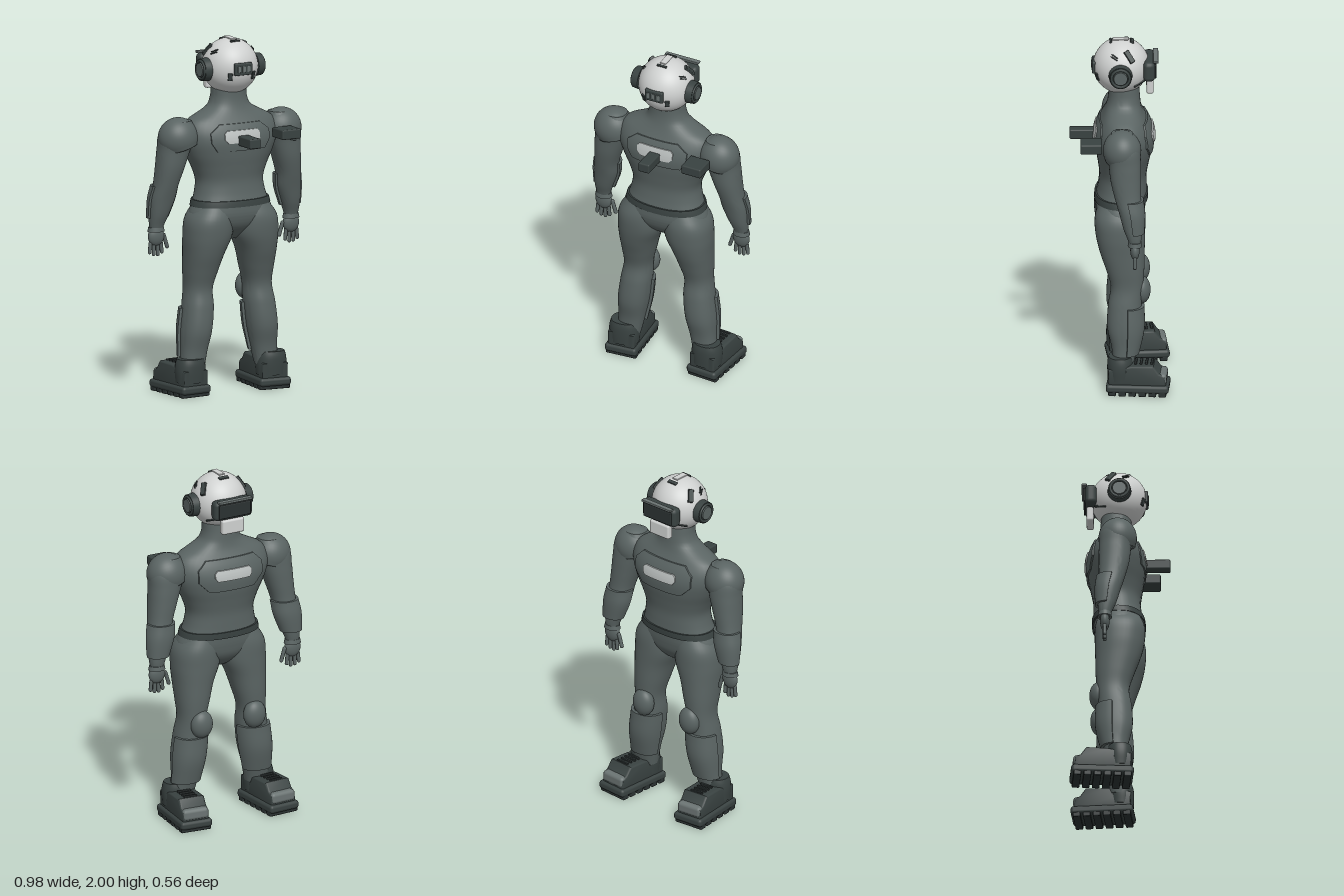
import * as THREE from 'three';
import { toCreasedNormals } from 'three/addons/utils/BufferGeometryUtils.js';
import { RoundedBoxGeometry } from 'three/addons/geometries/RoundedBoxGeometry.js';

const paint = (name, color) => Object.assign(new THREE.MeshStandardMaterial({ color }), { name });
const POW = 2.25; // superellipse exponent of body sections

// Cross-sections [y, cx, cz, rx, rz], bottom to top, as a smooth function of y
function profile(rows) {
  const curve = new THREE.CubicInterpolant(
    new Float32Array(rows.map(r => r[0])), new Float32Array(rows.flatMap(r => r.slice(1))), 4, new Float32Array(4));
  return y => Array.from(curve.evaluate(y));
}

function gridGeometry(rows, flip, crease = 0.7) {
  const n = rows[0].length, idx = [];
  for (let i = 0; i < rows.length - 1; i++) for (let j = 0; j < n - 1; j++) {
    const a = i * n + j, b = a + 1, c = a + n, d = c + 1;
    idx.push(...(flip ? [a, c, b, b, c, d] : [a, b, c, b, d, c]));
  }
  const g = new THREE.BufferGeometry();
  g.setAttribute('position', new THREE.Float32BufferAttribute(rows.flat(2), 3));
  g.setIndex(idx);
  return toCreasedNormals(g, crease);
}

// Capped body volume between two heights, mirrored by s
function loft(at, top, bottom, s = 1, grow = 0, steps = 32, n = 40) {
  const rows = [], sp = v => Math.sign(v) * Math.abs(v) ** (2 / POW);
  for (let i = -1; i <= steps + 1; i++) {
    const y = top + (bottom - top) * Math.min(Math.max(i / steps, 0), 1);
    const [cx, cz, rx, rz] = at(y), k = i < 0 || i > steps ? 0 : 1, row = [];
    for (let j = 0; j <= n; j++) {
      const a = (j % n) / n * Math.PI * 2;
      row.push([s * cx + k * (rx + grow) * sp(Math.cos(a)), y, cz + k * (rz + grow) * sp(Math.sin(a))]);
    }
    rows.push(row);
  }
  return gridGeometry(rows, false);
}

// Armour shell wrapped round the -z side of a limb, with turned-in edges
function shell(at, top, bottom, s, half, off) {
  const rows = [], N = 18, M = 10, sp = v => Math.sign(v) * Math.abs(v) ** (2 / POW);
  for (let i = -1; i <= M + 1; i++) {
    const v = Math.min(Math.max(i / M, 0), 1), y = top + (bottom - top) * v, [cx, cz, rx, rz] = at(y), row = [];
    for (let j = -1; j <= N + 1; j++) {
      const u = Math.min(Math.max(j / N, 0), 1), a = -Math.PI / 2 + (u * 2 - 1) * half;
      const o = i < 0 || i > M || j < 0 || j > N ? -0.004 : off;
      row.push([s * cx + (rx + o) * sp(Math.cos(a)), y, cz + (rz + o) * sp(Math.sin(a))]);
    }
    rows.push(row);
  }
  return gridGeometry(rows, false);
}

// Raised panel following the torso; outline is [y, half width] from top to bottom
function panel(at, outline, side, off) {
  const rows = [], N = 20, ys = [];
  outline.slice(1).forEach(([y1, w1], k) => {
    const [y0, w0] = outline[k];
    for (let t = k ? 1 : 0; t <= 4; t++) ys.push([y0 + (y1 - y0) * t / 4, w0 + (w1 - w0) * t / 4]);
  });
  for (let i = -1; i <= ys.length; i++) {
    const [y, w] = ys[Math.min(Math.max(i, 0), ys.length - 1)], [, cz, rx, rz] = at(y), row = [];
    for (let j = -1; j <= N + 1; j++) {
      const x = w * (Math.min(Math.max(j / N, 0), 1) * 2 - 1);
      const o = i < 0 || i === ys.length || j < 0 || j > N ? -0.004 : off;
      row.push([x, y, cz + side * (rz * (1 - Math.abs(x / rx) ** POW) ** (1 / POW) + o)]);
    }
    rows.push(row);
  }
  return gridGeometry(rows, side > 0);
}

export function createModel() {
  const root = new THREE.Group();
  root.name = 'armouredFigure';
  const suit = paint('suitGrey', 0x5a6463), dark = paint('darkGrey', 0x394241), sole = paint('soleBlack', 0x2b3232);
  const white = paint('helmetWhite', 0xcfd1d0), light = paint('panelLight', 0xbcc1c0), trim = paint('trimGrey', 0x6b7473);
  const add = (parent, name, geo, mat, x = 0, y = 0, z = 0) => {
    const m = new THREE.Mesh(geo, mat);
    m.name = name;
    m.position.set(x, y, z);
    parent.add(m);
    return m;
  };
  const box = (w, h, d, r = 0.008) => new RoundedBoxGeometry(w, h, d, 2, Math.min(r, w / 2.1, h / 2.1, d / 2.1));
  const ball = (x, y, z) => new THREE.SphereGeometry(1, 36, 24).scale(x, y, z);

  // Torso, belt and pelvis
  const torso = profile([
    [1.04, 0, -0.006, 0.235, 0.14], [1.08, 0, -0.008, 0.226, 0.141], [1.14, 0, -0.014, 0.208, 0.135],
    [1.21, 0, -0.018, 0.2, 0.132], [1.28, 0, -0.02, 0.222, 0.142], [1.36, 0, -0.022, 0.26, 0.156],
    [1.44, 0, -0.022, 0.287, 0.16], [1.5, 0, -0.021, 0.285, 0.145], [1.555, 0, -0.02, 0.25, 0.118],
    [1.585, 0, -0.02, 0.19, 0.105], [1.62, 0, -0.022, 0.128, 0.095], [1.66, 0, -0.024, 0.106, 0.089], [1.73, 0, -0.022, 0.098, 0.085]]);
  add(root, 'torso', loft(torso, 1.73, 1.05, 1, 0, 48), suit);
  add(root, 'belt', loft(torso, 1.102, 1.066, 1, 0.009, 2), dark);
  const hips = profile([[0.87, 0, -0.01, 0.04, 0.035], [0.9, 0, -0.01, 0.1, 0.075], [0.95, 0, -0.006, 0.2, 0.118],
    [1.01, 0, -0.003, 0.25, 0.138], [1.08, 0, -0.006, 0.228, 0.143]]);
  add(root, 'pelvis', loft(hips, 1.08, 0.87), suit);

  // Chest and back panels, and the two boxes on the back
  const hex = [[1.535, 0.127], [1.49, 0.185], [1.435, 0.183], [1.385, 0.15]];
  const strip = [[1.5, 0.095], [1.485, 0.11], [1.45, 0.11], [1.43, 0.09]];
  add(root, 'backPanel', panel(torso, hex, 1, 0.007), suit);
  add(root, 'backStrip', panel(torso, strip, 1, 0.013), light);
  add(root, 'chestPanel', panel(torso, [[1.54, 0.15], [1.49, 0.2], [1.42, 0.2], [1.36, 0.14]], -1, 0.009), suit);
  add(root, 'chestStrip', panel(torso, [[1.485, 0.1], [1.47, 0.115], [1.445, 0.115], [1.425, 0.1]], -1, 0.017), light);
  add(root, 'centreBackBox', box(0.068, 0.056, 0.14), dark, 0.003, 1.443, 0.209);
  add(root, 'sideBackBox', box(0.12, 0.056, 0.12), dark, 0.268, 1.464, 0.161);

  // Helmet with visor, mouthpiece and surface plates
  const head = new THREE.Group();
  head.name = 'head';
  head.position.set(0, 1.843, -0.008);
  root.add(head);
  add(head, 'helmet', new THREE.SphereGeometry(0.157, 48, 32), white);
  add(head, 'visorHousing', box(0.24, 0.115, 0.065, 0.025), dark, 0, -0.003, -0.155);
  add(head, 'visorLens', box(0.2, 0.08, 0.012, 0.005), sole, 0, -0.003, -0.19);
  add(head, 'visorBrow', box(0.21, 0.014, 0.03, 0.004), trim, 0, 0.054, -0.192);
  add(head, 'mouthpiece', box(0.14, 0.085, 0.04, 0.012), white, 0, -0.105, -0.16);
  const plate = (name, dx, dy, dz, w, h, mat = dark, d = 0.012, roll = 0) => {
    const dir = new THREE.Vector3(dx, dy, dz).normalize();
    const m = add(head, name, box(w, h, d, 0.004), mat, ...dir.clone().multiplyScalar(0.157).toArray());
    m.quaternion.setFromUnitVectors(new THREE.Vector3(0, 0, 1), dir);
    m.rotateZ(roll);
  };
  plate('crownPlate', 0, 1, 0.02, 0.038, 0.09, white, 0.008);
  plate('crownFrontTab', 0, 0.15, -0.063, 0.06, 0.022);
  plate('crownRearTab', 0, 0.15, 0.06, 0.06, 0.014);
  add(head, 'rearVent', box(0.11, 0.07, 0.03), dark, 0, 0.003, 0.148);
  for (const x of [-0.03, 0, 0.03]) add(head, 'rearVentSlot', box(0.02, 0.034, 0.006, 0.002), trim, x, 0.003, 0.163);
  for (const s of [-1, 1]) {
    plate('rearPad', s * 0.073, -0.04, 0.135, 0.026, 0.045);
    plate('templePlate', s * 0.12, 0.095, -0.045, 0.03, 0.075, dark, 0.02, s * 1.25);
    for (const y of [0.087, 0.104]) plate('templeSlot', s * 0.125, y, 0.04, 0.045, 0.007);
    plate('jawSlot', s * 0.1, -0.08, -0.11, 0.012, 0.08, dark, 0.01, s * 0.75);
    // Ear cups
    const disc = (r, w) => new THREE.CylinderGeometry(r * 0.94, r, w, 36).rotateZ(-s * Math.PI / 2);
    add(head, 'earCup', disc(0.066, 0.04), dark, s * 0.168, -0.008, 0.005);
    add(head, 'earRing', new THREE.TorusGeometry(0.05, 0.008, 10, 36).rotateY(Math.PI / 2), dark, s * 0.189, -0.008, 0.005);
    add(head, 'earDisc', disc(0.04, 0.012), suit, s * 0.192, -0.008, 0.005);
  }

  const arm = profile([
    [0.93, 0.43, -0.08, 0.034, 0.028], [0.97, 0.428, -0.078, 0.042, 0.038], [1.02, 0.42, -0.07, 0.053, 0.05],
    [1.12, 0.402, -0.058, 0.07, 0.066], [1.2, 0.39, -0.042, 0.068, 0.073], [1.3, 0.37, -0.03, 0.079, 0.085],
    [1.4, 0.35, -0.024, 0.092, 0.09], [1.5, 0.33, -0.012, 0.1, 0.092], [1.56, 0.315, -0.01, 0.06, 0.06]]);
  const leg = profile([
    [0.14, 0.236, -0.015, 0.068, 0.055], [0.25, 0.222, -0.025, 0.076, 0.073], [0.36, 0.21, -0.025, 0.087, 0.096],
    [0.5, 0.195, -0.027, 0.086, 0.093], [0.6, 0.188, -0.038, 0.078, 0.09], [0.7, 0.178, -0.028, 0.093, 0.107],
    [0.8, 0.166, -0.012, 0.11, 0.125], [0.9, 0.147, -0.002, 0.133, 0.138], [1.0, 0.138, 0, 0.129, 0.139], [1.07, 0.115, -0.005, 0.105, 0.12]]);
  const domePoints = [[0.088, -0.05], [0.106, -0.052]];
  for (let k = 0; k <= 14; k++) {
    const a = -0.4 + (Math.PI / 2 + 0.4) * k / 14;
    domePoints.push([Math.max(0.116 * Math.cos(a), 0), 0.116 * Math.sin(a)]);
  }
  const dome = domePoints.map(p => new THREE.Vector2(...p));
  // Side outline of the boot upper, forward to the right
  const upper = new THREE.Shape([[-0.15, 0.05], [-0.153, 0.14], [-0.03, 0.165], [0.085, 0.168], [0.115, 0.125], [0.145, 0.11], [0.15, 0.05]]
    .map(p => new THREE.Vector2(...p)));
  const cuff = profile([[0.08, 0, 0.1, 0.084, 0.07], [0.15, 0, 0.1, 0.088, 0.072], [0.19, 0, 0.1, 0.083, 0.07], [0.212, 0, 0.1, 0.076, 0.064]]);

  for (const s of [-1, 1]) {
    // Arm, shoulder cap and bracer
    add(root, 'arm', loft(arm, 1.56, 0.93, s), suit);
    const cap = add(root, 'shoulderCap', new THREE.LatheGeometry(dome, 40).scale(1, 1, 0.92), suit, s * 0.328, 1.462, -0.01);
    cap.rotation.z = -s * 0.28;
    add(root, 'bracer', shell(arm, 1.195, 1.01, s, 1.6, 0.014), suit);

    // Hand
    const hand = new THREE.Group();
    hand.name = 'hand';
    hand.position.set(s * 0.43, 0.91, -0.08);
    root.add(hand);
    add(hand, 'wristCuff', new THREE.CylinderGeometry(0.045, 0.05, 0.025, 28).scale(1, 1, 0.8), suit, 0, 0.035);
    add(hand, 'palm', ball(0.05, 0.055, 0.026), suit, 0, -0.005);
    for (let k = 0; k < 4; k++) {
      const f = add(hand, 'finger', new THREE.CapsuleGeometry(0.0105, 0.07 - Math.abs(k - 1.4) * 0.012, 5, 10), suit,
        s * (-0.034 + k * 0.024), -0.078 + Math.abs(k - 1.4) * 0.006, 0);
      f.rotation.z = s * (k - 1.5) * 0.06;
    }
    add(hand, 'thumb', new THREE.CapsuleGeometry(0.011, 0.07, 5, 10), suit, s * -0.062, -0.037, -0.004).rotation.z = -s * 0.3;

    // Leg, knee pad and shin guard
    add(root, 'leg', loft(leg, 1.07, 0.14, s, 0, 48), suit);
    add(root, 'kneePad', ball(0.066, 0.08, 0.05), suit, s * 0.168, 0.57, -0.12);
    add(root, 'shinGuard', shell(leg, 0.49, 0.22, s, 1.45, 0.016), suit);

    // Boot, toes turned slightly outward
    const boot = new THREE.Group();
    boot.name = 'boot';
    boot.position.set(s * 0.265, 0, -0.1);
    boot.rotation.y = -s * 0.08;
    root.add(boot);
    add(boot, 'midsole', box(0.19, 0.048, 0.35, 0.018), dark, 0, 0.042);
    for (let k = 0; k < 6; k++) add(boot, 'soleLug', box(0.182, 0.03, 0.042, 0.006), sole, 0, 0.015, -0.14 + k * 0.056);
    const body = new THREE.ExtrudeGeometry(upper, { depth: 0.13, bevelSize: 0.01, bevelThickness: 0.014, bevelSegments: 3 });
    add(boot, 'bootUpper', toCreasedNormals(body.translate(0, 0, -0.065).rotateY(Math.PI / 2), 0.6), dark);
    add(boot, 'ankleCuff', loft(cuff, 0.212, 0.08, 1, 0, 10), dark);
    add(boot, 'toeCap', box(0.155, 0.065, 0.06, 0.02), trim, 0, 0.098, -0.132);
    for (let k = 0; k < 4; k++) add(boot, 'lace', box(0.08, 0.012, 0.014, 0.004), sole, 0, 0.18, -0.078 + k * 0.03);
  }
  return root;
}
